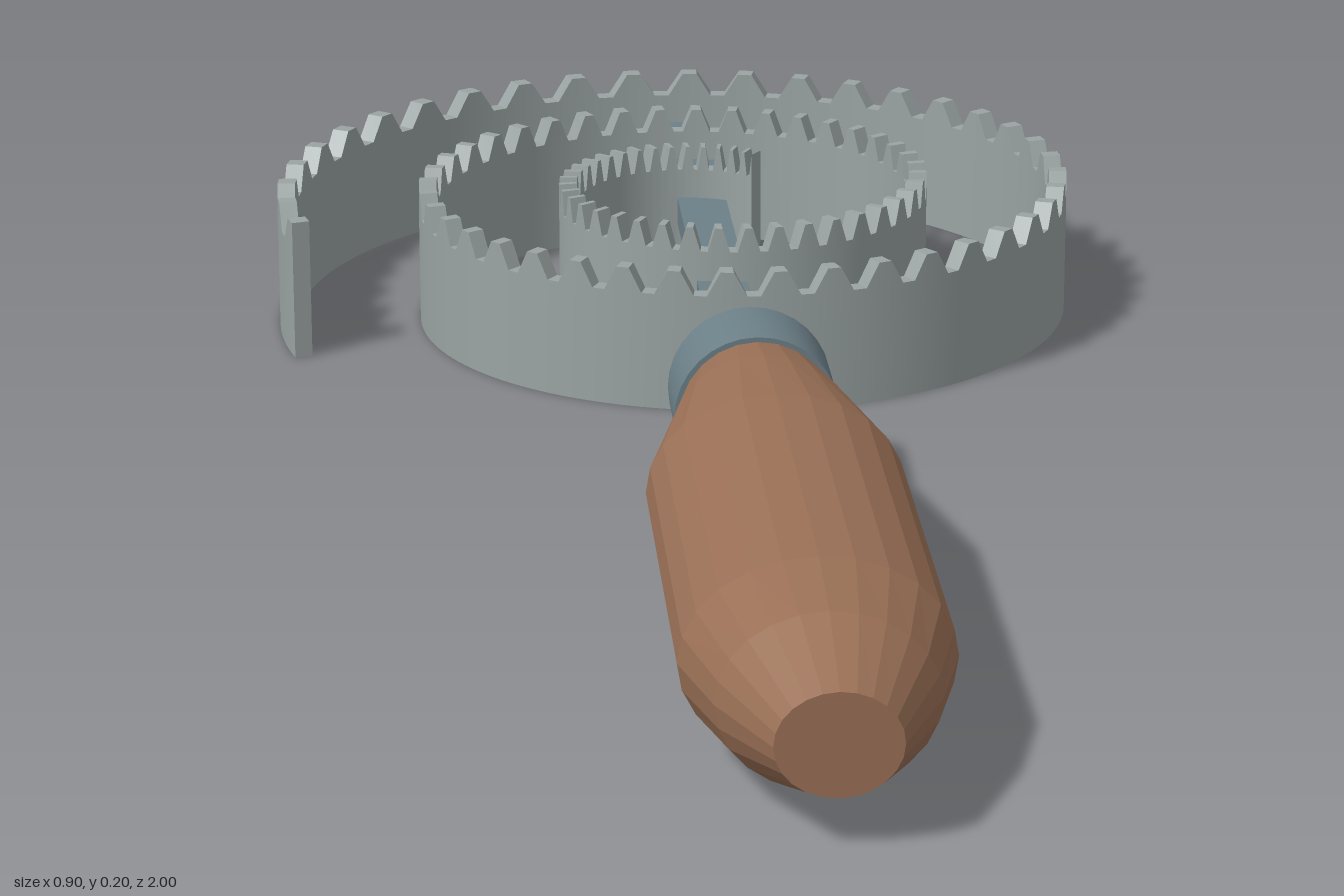
import * as THREE from 'three';
import { toCreasedNormals } from 'three/addons/utils/BufferGeometryUtils.js';

const CX = 0.04;      // shared axis of handle, rod and coil
const COIL_Z = -0.545;

// Skin a list of closed cross-sections, with a cap at each end.
// Each section runs clockwise when seen from the start, looking along the loft.
function loft(sections) {
  const n = sections[0].length, last = (sections.length - 1) * n;
  const index = [];
  for (let i = 0; i < sections.length - 1; i++) {
    for (let j = 0; j < n; j++) {
      const k = (j + 1) % n, a = i * n, b = a + n;
      index.push(a + j, a + k, b + j, a + k, b + k, b + j);
    }
  }
  for (let j = 1; j < n - 1; j++) {
    index.push(0, j + 1, j, last, last + j, last + j + 1);
  }
  const geometry = new THREE.BufferGeometry();
  geometry.setAttribute('position', new THREE.Float32BufferAttribute(sections.flat(2), 3));
  geometry.setIndex(index);
  return geometry;
}

// Spiral strip with a trapezoid-toothed upper edge
function coilGeometry() {
  const turns = 2.4, teethPerTurn = 40, steps = turns * teethPerTurn * 4;
  const start = -Math.PI / 10, half = 0.01;
  const sections = [];
  for (let i = 0; i <= steps; i++) {
    const t = start + (i / steps) * turns * Math.PI * 2;
    const r = 0.48 - 0.16 * t / (Math.PI * 2);
    const top = i % 4 < 2 ? 0.157 : 0.13;
    const point = (radius, y) => [CX - radius * Math.cos(t), y, COIL_Z - radius * Math.sin(t)];
    sections.push([point(r + half, 0), point(r + half, top), point(r - half, top), point(r - half, 0)]);
  }
  return toCreasedNormals(loft(sections), 0.5);
}

// Oval wooden grip, given as [z, half width, half height]
function handleGeometry() {
  const profile = [
    [0.08, 0.07, 0.07], [0.13, 0.08, 0.08], [0.2, 0.095, 0.09], [0.35, 0.128, 0.1],
    [0.8, 0.128, 0.1], [0.9, 0.102, 0.086], [1, 0.058, 0.05],
  ];
  const sides = 24;
  return loft(profile.map(([z, rx, ry]) => Array.from({ length: sides }, (_, j) => {
    const a = (j / sides) * Math.PI * 2;
    return [CX - rx * Math.sin(a), 0.1 + ry * Math.cos(a), z];
  })));
}

export function createModel() {
  const group = new THREE.Group();
  const wood = new THREE.MeshStandardMaterial({ color: 0x9a7056, flatShading: true });
  const steel = new THREE.MeshStandardMaterial({ color: 0x9aa3a3 });
  const darkSteel = new THREE.MeshStandardMaterial({ color: 0x6c8088 });

  const add = (name, geometry, material) => {
    const mesh = new THREE.Mesh(geometry, material);
    mesh.name = name;
    group.add(mesh);
    return mesh;
  };

  add('toothedCoil', coilGeometry(), steel);
  add('handle', handleGeometry(), wood);

  // Flat rod running through the coil into the handle
  add('rod', new THREE.BoxGeometry(0.056, 0.032, 1.12), darkSteel).position.set(CX, 0.08, -0.44);

  // Hollow collar where rod and handle meet
  const ring = [[0.06, -0.05], [0.085, -0.05], [0.085, 0.05], [0.06, 0.05], [0.06, -0.05]]
    .map(([r, y]) => new THREE.Vector2(r, y));
  const collar = add('collar', toCreasedNormals(new THREE.LatheGeometry(ring, 32), 0.5), darkSteel);
  collar.rotation.x = Math.PI / 2;
  collar.position.set(CX, 0.1, 0.08);

  return group;
}
